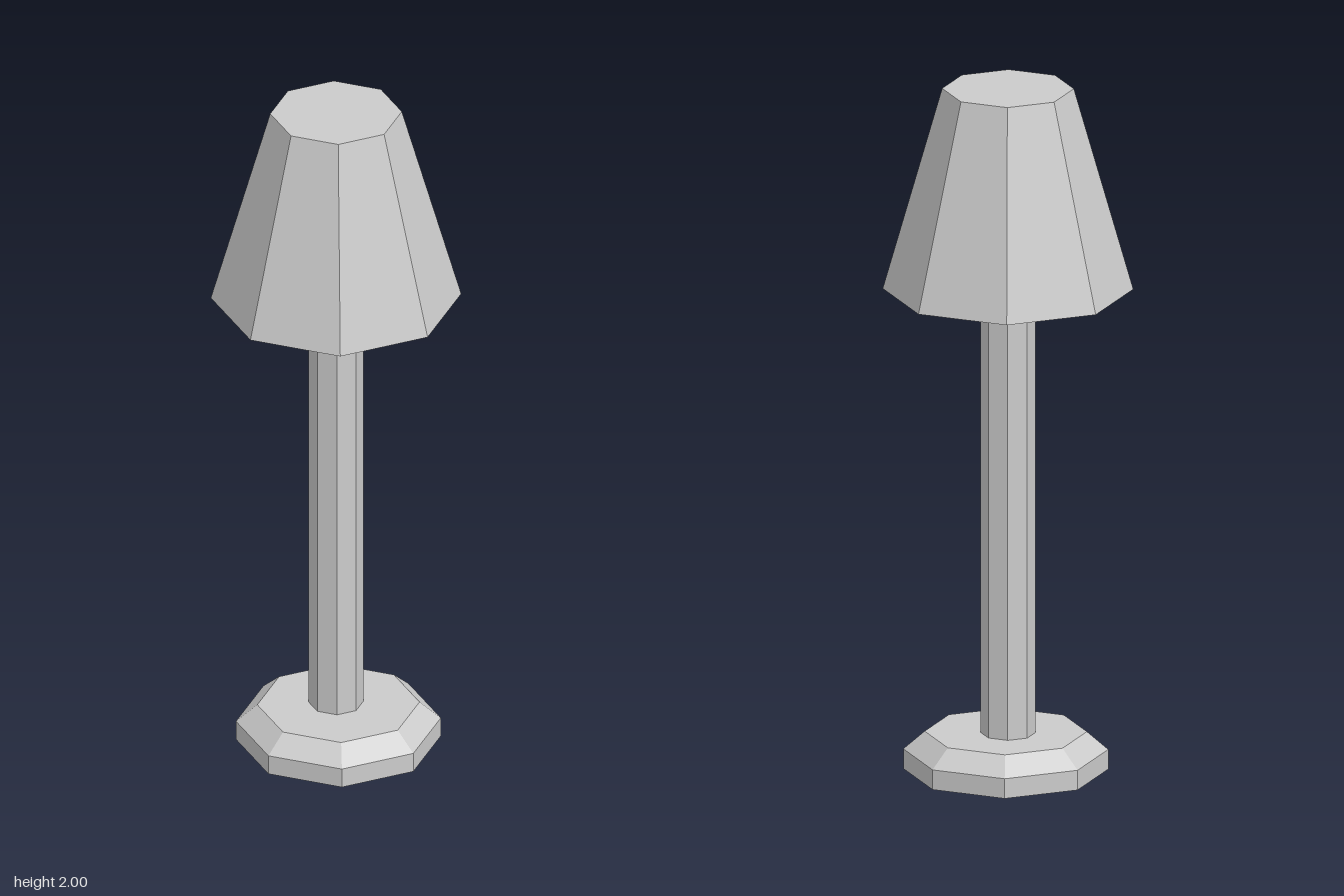
import * as THREE from 'three';

const SIDES = 8;

export function createModel() {
  const lamp = new THREE.Group();
  lamp.name = 'tableLamp';
  const material = new THREE.MeshStandardMaterial({ color: 0xcccccc, flatShading: true });

  // Eight-sided frustum standing between two heights
  function frustum(name, rBottom, rTop, y0, y1, { z = 0, open = false } = {}) {
    const geometry = new THREE.CylinderGeometry(rTop, rBottom, y1 - y0, SIDES, 1, open);
    const mesh = new THREE.Mesh(geometry, material);
    mesh.name = name;
    mesh.position.set(0, (y0 + y1) / 2, z);
    lamp.add(mesh);
  }

  // Foot: closed profile with a bevelled upper rim, set slightly forward
  const profile = [[0, 0], [0.288, 0], [0.288, 0.058], [0.228, 0.11], [0, 0.11]]
    .map(([r, y]) => new THREE.Vector2(r, y));
  const base = new THREE.Mesh(new THREE.LatheGeometry(profile, SIDES), material);
  base.name = 'base';
  base.position.set(-0.003, 0, 0.012);
  lamp.add(base);

  // Pole and closed shade
  frustum('pole', 0.077, 0.077, 0.11, 1.412, { open: true });
  frustum('shade', 0.352, 0.185, 1.412, 2);

  return lamp;
}
